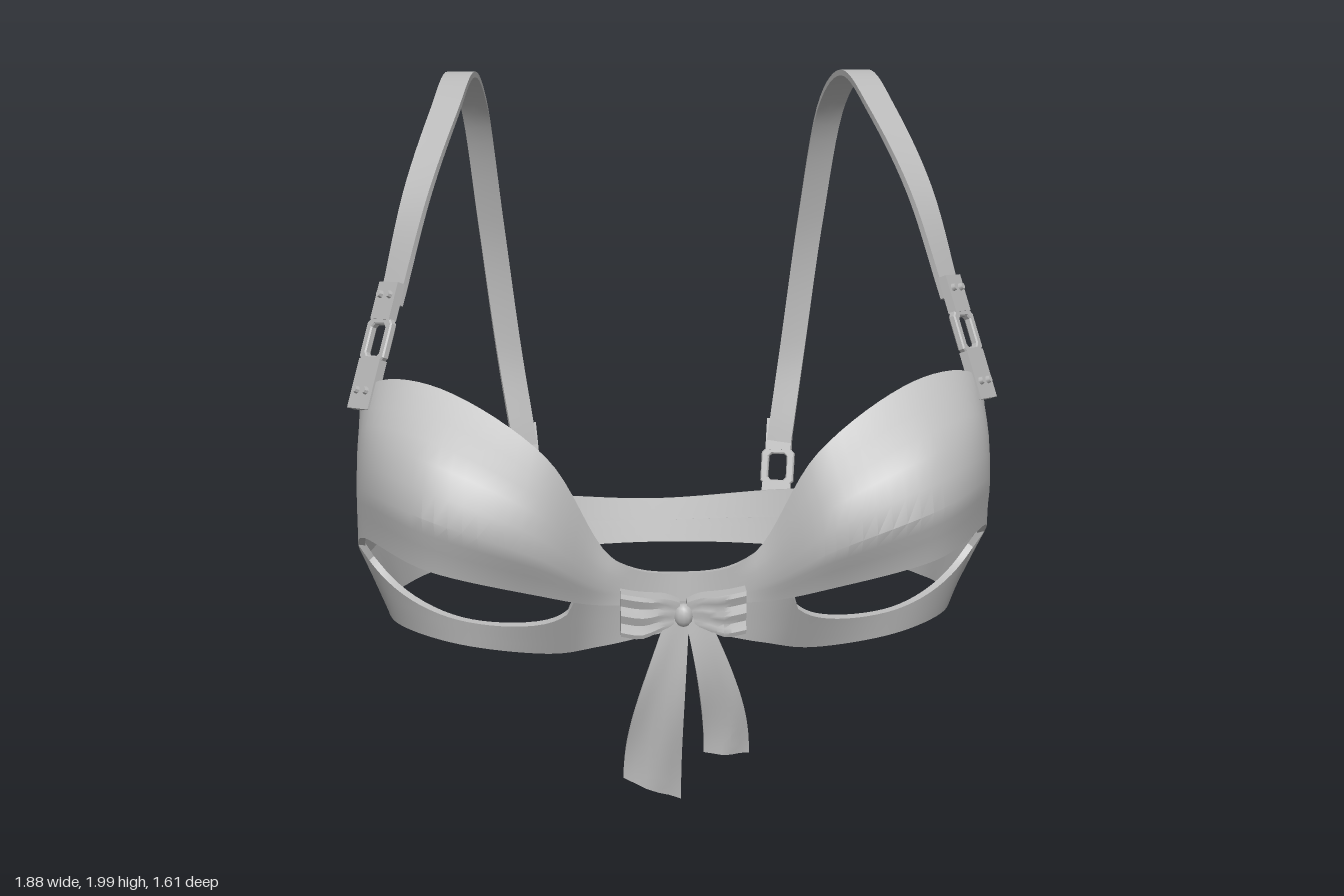
import * as THREE from 'three';
import { toCreasedNormals, mergeVertices } from 'three/addons/utils/BufferGeometryUtils.js';

const V = (p) => new THREE.Vector3(...p);
const fabric = new THREE.MeshStandardMaterial({ color: 0xb8b8b8 });
fabric.name = 'grey fabric';

function mesh(name, geo) {
  const m = new THREE.Mesh(geo, fabric);
  m.name = name;
  return m;
}

// Solid sheet through a grid of points, thickened away from its front face
function slab(grid, thick, closed = false) {
  const n = grid.length, m = grid[0].length, spans = closed ? n : n - 1;
  const pts = grid.flat(), face = [];
  const id = (i, j) => (i % n) * m + j;
  for (let i = 0; i < spans; i++) {
    for (let j = 0; j < m - 1; j++) {
      const a = id(i, j), b = id(i + 1, j), c = id(i, j + 1), d = id(i + 1, j + 1);
      face.push(a, c, b, b, c, d);
    }
  }
  const geo = new THREE.BufferGeometry().setFromPoints(pts);
  geo.setIndex(face);
  geo.computeVertexNormals();
  const nor = geo.attributes.normal, off = pts.length;
  const inner = pts.map((p, k) => p.clone().addScaledVector(new THREE.Vector3().fromBufferAttribute(nor, k), -thick));
  const all = [...face];
  for (let k = 0; k < face.length; k += 3) all.push(face[k] + off, face[k + 2] + off, face[k + 1] + off);
  const wall = (a, b) => all.push(a, b, a + off, b, b + off, a + off);
  for (let i = 0; i < spans; i++) {
    wall(id(i, 0), id(i + 1, 0));
    wall(id(i + 1, m - 1), id(i, m - 1));
  }
  if (!closed) for (let j = 0; j < m - 1; j++) {
    wall(id(0, j + 1), id(0, j));
    wall(id(n - 1, j), id(n - 1, j + 1));
  }
  const out = new THREE.BufferGeometry().setFromPoints([...pts, ...inner]);
  out.setIndex(all);
  return toCreasedNormals(out, 0.45);
}

// Mirror a geometry across x = 0; reversing the vertex order restores its facing
function mirrored(geo) {
  const g = geo.index ? geo.toNonIndexed() : geo;
  const p = g.attributes.position, out = [];
  for (let k = p.count - 1; k >= 0; k--) out.push(new THREE.Vector3(-p.getX(k), p.getY(k), p.getZ(k)));
  return toCreasedNormals(new THREE.BufferGeometry().setFromPoints(out), 0.45);
}

// Closed ring through half a row of points, front centre to back centre, and its mirror
function ringCurve(half) {
  const other = half.slice(1, -1).reverse().map((p) => p.clone().setX(-p.x));
  return new THREE.CatmullRomCurve3([...half, ...other], true, 'catmullrom', .5);
}

// Cups, wings and under band; the openings part the two panels along their seam
function body() {
  const top = [
    [0, .67, .65], [.2, .73, .67], [.375, 1.02, .67], [.66, 1.185, .54], [.875, 1.165, .42],
    [.915, .91, .25], [.93, .725, -.1], [.78, .57, -.45], [.44, .51, -.64], [0, .475, -.675]].map(V);
  const bottom = [
    [0, .5, .66], [.22, .46, .655], [.38, .43, .63], [.63, .425, .53], [.82, .42, .34],
    [.865, .415, .13], [.855, .365, -.13], [.73, .325, -.42], [.43, .32, -.6], [0, .33, -.63]].map(V);
  const seam = [
    [0, .59, .66], [.22, .59, .68], [.4, .65, .755], [.7, .725, .745], [.895, .74, .49], [.925, .61, .24]].map(V);
  for (let i = seam.length; i < top.length; i++) seam.push(top[i].clone().lerp(bottom[i], .5));
  const [topRow, bottomRow, seamRow] = [top, bottom, seam].map(ringCurve);

  const upper = [], lower = [], sub = 8, count = 18 * sub;
  for (let k = 0; k < count; k++) {
    const t = k / count, s = Math.min(k, count - k) / sub, side = k < count / 2 ? 1 : -1;
    const hi = topRow.getPoint(t), mid = seamRow.getPoint(t), lo = bottomRow.getPoint(t);
    // Cup fullness
    const swell = .11 * Math.sin(Math.PI * THREE.MathUtils.clamp((s - .75) / 4, 0, 1)) ** 1.5;
    const bulge = hi.clone().lerp(mid, .5).add(V([side * .25 * swell, 0, swell]));
    upper.push(new THREE.CatmullRomCurve3([hi, bulge, mid], false, 'catmullrom', .8).getPoints(8));
    // Opening: the band drops away from the seam and sits further in
    const gap = .74 * Math.sqrt(Math.max(0, Math.sin(Math.PI * THREE.MathUtils.clamp((s - 1.5) / 3, 0, 1))));
    const edge = mid.clone().lerp(lo, Math.min(1, gap * 1.3));
    edge.y = THREE.MathUtils.lerp(mid.y, lo.y, gap);
    lower.push([0, 1, 2, 3].map((j) => edge.clone().lerp(lo, j / 3)));
  }
  return [mesh('cupsAndWings', slab(upper, .02, true)), mesh('underBand', slab(lower, .02, true))];
}

// Shoulder strap: a ribbon whose width turns from the cup side to the shoulder
function strapGeometry() {
  const path = new THREE.CatmullRomCurve3([
    [.815, 1.38, .32], [.74, 1.67, .185], [.662, 1.89, -.07], [.62, 1.985, -.33],
    [.59, 1.86, -.61], [.55, 1.45, -.765], [.5, 1, -.785], [.45, .66, -.725]].map(V));
  const grid = [];
  for (let i = 0; i <= 48; i++) {
    const t = i / 48, p = path.getPoint(t), tan = path.getTangent(t);
    const yaw = -.86 * Math.max(0, 1 - t / .4) + .6 * Math.max(0, t - .5);
    const w = new THREE.Vector3(Math.cos(yaw), 0, Math.sin(yaw));
    w.addScaledVector(tan, -w.dot(tan)).normalize();
    grid.push([-.043, 0, .043].map((d) => p.clone().addScaledVector(w, d)));
  }
  return slab(grid, .018);
}

// Rectangle with cut corners
function cutRect(Kind, w, h, r) {
  const s = new Kind();
  s.moveTo(-w + r, -h).lineTo(w - r, -h).lineTo(w, -h + r).lineTo(w, h - r);
  return s.lineTo(w - r, h).lineTo(-w + r, h).lineTo(-w, h - r).lineTo(-w, -h + r).closePath();
}

// Link and its two studded tabs, y along the strap and z outward
function linkParts() {
  const frame = cutRect(THREE.Shape, .054, .07, .022);
  frame.holes.push(cutRect(THREE.Path, .036, .05, .012));
  const link = new THREE.ExtrudeGeometry(frame, { depth: .014, bevelSize: .004, bevelThickness: .004, bevelSegments: 1 });
  const parts = [['link', link.translate(0, 0, -.007)]];
  for (const [name, y, w, h] of [['lowerTab', -.13, .1, .145], ['upperTab', .115, .09, .11]]) {
    parts.push([name, new THREE.BoxGeometry(w, h, .026).translate(0, y, 0)]);
    for (const x of [-.022, .022]) {
      parts.push(['stud', new THREE.CylinderGeometry(.009, .012, .012, 8).rotateX(Math.PI / 2).translate(x, y * 1.15, .018)]);
    }
  }
  return parts;
}

// Stand a copy of a part at pos with its y along upDir and its z towards outDir
function place(geo, pos, upDir, outDir) {
  const up = V(upDir).normalize(), w = up.clone().cross(V(outDir)).normalize();
  const m = new THREE.Matrix4().makeBasis(w, up, w.clone().cross(up)).setPosition(...pos);
  return geo.clone().applyMatrix4(m);
}

// Bow loop: a puffed box pinched at the knot and pleated along its length
function bowLoop() {
  const g = new THREE.BoxGeometry(.165, .12, .044, 8, 10, 2).translate(.0925, 0, 0);
  const p = g.attributes.position;
  for (let k = 0; k < p.count; k++) {
    const x = p.getX(k), y = p.getY(k), f = Math.min(1, x / .12);
    p.setY(k, y * (.5 + .55 * f) + .006 * Math.sin(x * 40));
    p.setZ(k, p.getZ(k) * (.7 + .5 * Math.sin(f * 2.4)) + .004 * Math.cos(y * 130) * f);
  }
  g.deleteAttribute('normal');
  g.deleteAttribute('uv');
  return toCreasedNormals(mergeVertices(g), .6).translate(0, .57, .695);
}

// Hanging ribbon that drifts sideways, widens and ends on a slant
function tail(startX, endX, length, width, slant) {
  const grid = [];
  for (let i = 0; i <= 5; i++) {
    grid.push([]);
    for (let j = 0; j <= 14; j++) {
      const v = i / 5 - .5, f = j / 14, ease = Math.sin(f * Math.PI / 2);
      const x = THREE.MathUtils.lerp(startX, endX, ease) + v * THREE.MathUtils.lerp(.065, width, ease);
      const y = .56 - length * f - slant * v * f ** 3;
      const z = .715 + .015 * Math.sin(f * 4.5) + .01 * f * Math.sin(i * 1.3 + j * .35);
      grid[i].push(new THREE.Vector3(x, y, z));
    }
  }
  return slab(grid, .007);
}

export function createModel() {
  const model = new THREE.Group();
  model.name = 'strappedTop';
  model.add(...body());

  // Straps, links and bow loops on both sides
  const sides = [['strap', strapGeometry()], ['bowLoop', bowLoop()]];
  for (const [name, g] of linkParts()) {
    sides.push(['front ' + name, place(g, [.845, 1.285, .36], [-.07, .26, -.1], [.76, .3, .6])]);
    sides.push(['back ' + name, place(g, [.44, .575, -.695], [.02, .22, -.08], [.3, -.2, -.95])]);
  }
  for (const [name, g] of sides) model.add(mesh(name + ' left', g), mesh(name + ' right', mirrored(g)));

  // Knot and hanging tails
  const knot = new THREE.SphereGeometry(.032, 12, 8).scale(.9, 1.1, .8).translate(0, .565, .705);
  model.add(mesh('bowKnot', knot));
  model.add(mesh('tail right', tail(-.017, -.087, .525, .165, .07)));
  model.add(mesh('tail left', tail(.037, .125, .42, .13, .005)));
  return model;
}
